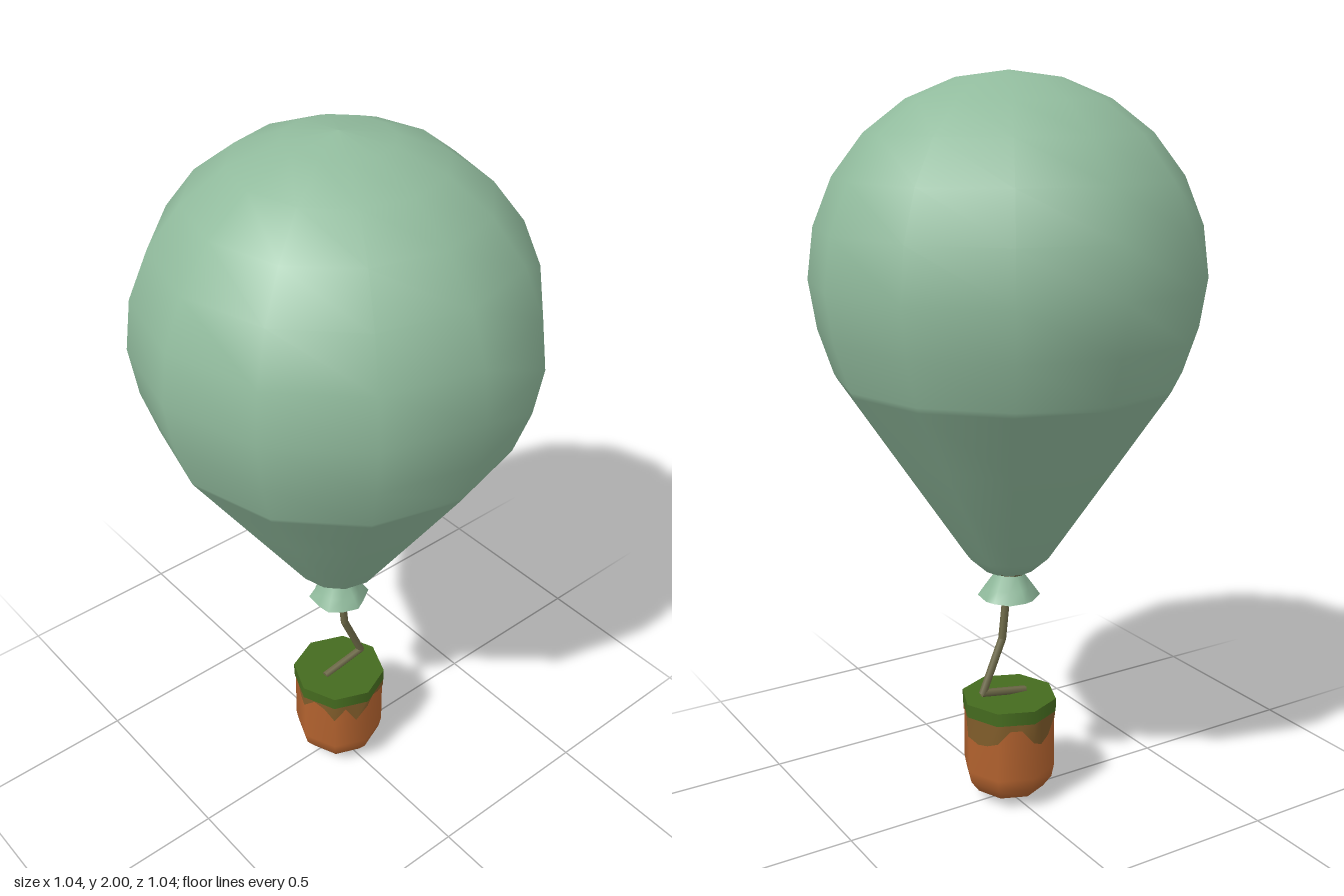
import * as THREE from 'three';

const mat = (name, color, side = THREE.FrontSide) => {
  const m = new THREE.MeshStandardMaterial({ color, side });
  m.name = name;
  return m;
};

const TAU = Math.PI * 2;

function add(parent, name, geometry, material) {
  const mesh = new THREE.Mesh(geometry, material);
  mesh.name = name;
  parent.add(mesh);
  return mesh;
}

const lathe = (points, sides) =>
  new THREE.LatheGeometry(points.map(([r, y]) => new THREE.Vector2(r, y)), sides);

// Band whose rows are closed rings; at(row, column) returns [x, y, z]
function ringBand(rows, columns, at) {
  const pos = [], index = [];
  for (let r = 0; r < rows; r++) for (let c = 0; c < columns; c++) pos.push(...at(r, c));
  for (let r = 0; r < rows - 1; r++) {
    for (let c = 0; c < columns; c++) {
      const n = (c + 1) % columns;
      const a = r * columns + c, b = r * columns + n;
      const d = a + columns, e = b + columns;
      index.push(a, d, b, b, d, e);
    }
  }
  const g = new THREE.BufferGeometry();
  g.setAttribute('position', new THREE.Float32BufferAttribute(pos, 3));
  g.setIndex(index);
  g.computeVertexNormals();
  return g;
}

export function createModel() {
  const model = new THREE.Group();
  model.name = 'balloonWithPot';

  const rubber = mat('balloonGreen', 0x91bb9d, THREE.DoubleSide);
  const clay = mat('terracotta', 0xb4632f);
  const moss = mat('mossGreen', 0x456b1f);
  const stain = mat('mossStain', 0x805c2a, THREE.DoubleSide);
  const twine = mat('twine', 0x6e6a48);
  const knotBrown = mat('knotBrown', 0x664f2d);

  // Balloon: round upper half over a straight cone
  const profile = [[0.03, 0.675], [0.07, 0.685], [0.12, 0.73], [0.325, 1.03],
    [0.451, 1.215], [0.46, 1.23], [0.5, 1.35]];
  for (let a = 0; a < 90; a += 15) {
    const t = THREE.MathUtils.degToRad(a);
    profile.push([0.52 * Math.cos(t), 1.48 + 0.52 * Math.sin(t)]);
  }
  profile.push([0, 2]);
  add(model, 'balloon', lathe(profile, 12), rubber);

  // Flared, wavy balloon mouth
  const rings = [[0.034, 0.69, 0], [0.042, 0.668, 0], [0.062, 0.635, 0.003], [0.08, 0.603, 0.006]];
  add(model, 'balloonMouth', ringBand(rings.length, 12, (r, c) => {
    const [radius, y, wave] = rings[r];
    const a = (c / 12) * TAU, w = wave * Math.cos(c * Math.PI);
    return [(radius + w) * Math.sin(a), y + w * 0.6, (radius + w) * Math.cos(a)];
  }), rubber);

  // Twine wrapped around the neck
  const knot = add(model, 'knot', new THREE.TorusGeometry(0.042, 0.014, 6, 12), knotBrown);
  knot.rotation.set(Math.PI / 2, 0.12, 0);
  knot.position.set(0.008, 0.687, 0);

  // Bent string from the neck to the pot
  const string = new THREE.Group();
  string.name = 'string';
  model.add(string);
  const joints = [[0.005, 0.68], [0.01, 0.59], [0.022, 0.48], [0.085, 0.33], [-0.05, 0.308]]
    .map(([x, y]) => new THREE.Vector3(x, y, 0));
  for (let i = 0; i < joints.length - 1; i++) {
    const dir = joints[i + 1].clone().sub(joints[i]);
    const part = add(string, 'stringSegment',
      new THREE.CylinderGeometry(0.011, 0.011, dir.length() + 0.006, 6), twine);
    part.position.copy(joints[i]).addScaledVector(dir, 0.5);
    part.quaternion.setFromUnitVectors(new THREE.Vector3(0, 1, 0), dir.normalize());
  }

  // Eight-sided pot with a rounded base
  add(model, 'pot', lathe([[0, 0], [0.055, 0.01], [0.1, 0.032], [0.124, 0.065],
    [0.131, 0.1], [0.131, 0.3]], 8), clay);

  // Moss cap
  const cap = add(model, 'mossCap', new THREE.CylinderGeometry(0.135, 0.135, 0.038, 8), moss);
  cap.position.y = 0.288;

  // Drips running down the pot wall, lower edge given every 15 degrees
  const drips = [0.25, 0.265, 0.25, 0.245, 0.265, 0.25, 0.21, 0.195, 0.2, 0.215, 0.25, 0.25,
    0.21, 0.195, 0.21, 0.26, 0.265, 0.24, 0.235, 0.265, 0.25, 0.215, 0.255, 0.2];
  add(model, 'mossDrips', ringBand(2, drips.length, (r, c) => {
    const a = (c / drips.length) * TAU;
    const off = (a % (TAU / 8)) - TAU / 16;
    const radius = 0.1335 * Math.cos(TAU / 16) / Math.cos(off);
    return [radius * Math.sin(a), r ? drips[c] : 0.28, radius * Math.cos(a)];
  }), stain);

  return model;
}
